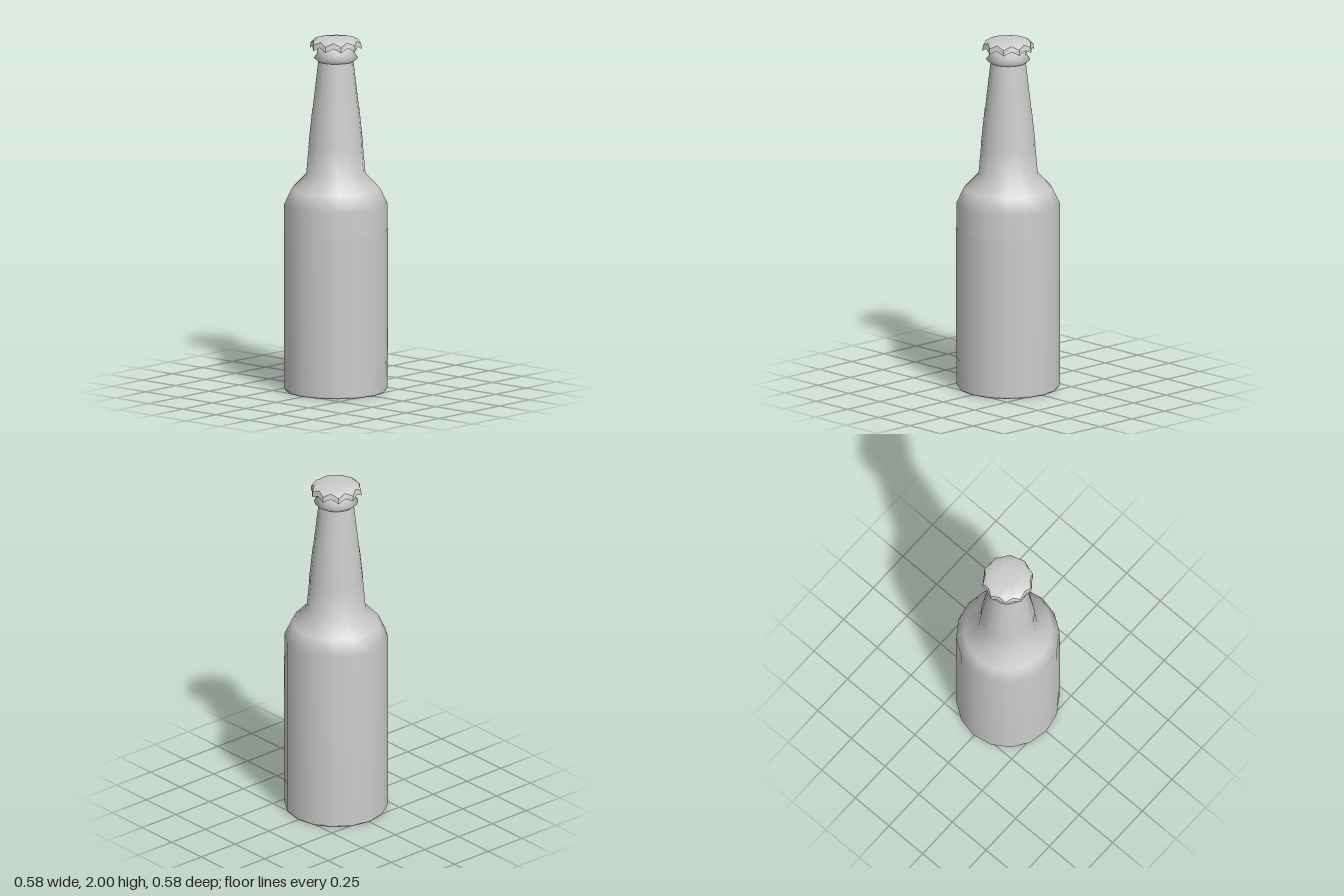
import * as THREE from 'three';

const SIDES = 16;
const STEP = (Math.PI * 2) / SIDES;
const material = new THREE.MeshStandardMaterial({ color: 0xcccccc, side: THREE.DoubleSide });
const crimped = material.clone();
crimped.flatShading = true;

function addMesh(group, name, geometry, mat = material) {
  const mesh = new THREE.Mesh(geometry, mat);
  mesh.name = name;
  group.add(mesh);
}

// Turned surface spanning `sides` facets, centred on the front
function turned(profile, sides = SIDES) {
  const points = profile.map(([r, y]) => new THREE.Vector2(r, y));
  const start = sides === SIDES ? 0 : (-sides / 2) * STEP;
  return new THREE.LatheGeometry(points, sides, start, sides * STEP);
}

// Rings whose radius and height alternate between tips and valleys
function crimpedRings(rings, tips = 10) {
  const n = tips * 2;
  const positions = [];
  const index = [];
  rings.forEach(({ tip, valley }, row) => {
    for (let i = 0; i < n; i++) {
      const [r, y] = i % 2 ? valley : tip;
      const a = (i / n) * Math.PI * 2;
      positions.push(r * Math.sin(a), y, r * Math.cos(a));
      if (row === 0) continue;
      const j = (i + 1) % n;
      const low = (row - 1) * n;
      const high = row * n;
      index.push(low + i, low + j, high + j, low + i, high + j, high + i);
    }
  });
  const geometry = new THREE.BufferGeometry();
  geometry.setAttribute('position', new THREE.Float32BufferAttribute(positions, 3));
  geometry.setIndex(index);
  geometry.computeVertexNormals();
  return geometry;
}

export function createModel() {
  const bottle = new THREE.Group();
  bottle.name = 'bottle';

  // Glass: hollowed base, straight body, rounded shoulder, tapering neck
  addMesh(bottle, 'glassBody', turned([
    [0, 0.015], [0.2, 0.008], [0.28, 0], [0.288, 0.012], [0.289, 1.055],
    [0.247, 1.145], [0.165, 1.23], [0.15, 1.4], [0.129, 1.6], [0.098, 1.87],
  ]));

  // Lip ring and mouth under the cap
  addMesh(bottle, 'lipRing', turned([
    [0.095, 1.862], [0.124, 1.885], [0.104, 1.912], [0.104, 1.965], [0, 1.965],
  ]));

  // Paper labels lying on the glass
  addMesh(bottle, 'bodyLabel', turned([[0.291, 0.17], [0.291, 0.915]], 6));
  addMesh(bottle, 'neckLabel', turned([[0.152, 1.4], [0.131, 1.6]], 12));

  // Crimped cap: pleated skirt and gently domed top
  const cap = new THREE.Group();
  cap.name = 'cap';
  const rim = { tip: [0.142, 1.968], valley: [0.126, 1.988] };
  addMesh(cap, 'capSkirt', crimpedRings([
    { tip: [0.145, 1.936], valley: [0.135, 1.958] },
    rim,
  ]), crimped);
  addMesh(cap, 'capTop', crimpedRings([
    rim,
    { tip: [0.11, 1.994], valley: [0.11, 1.994] },
    { tip: [0.06, 1.999], valley: [0.06, 1.999] },
    { tip: [0, 2], valley: [0, 2] },
  ]));
  bottle.add(cap);

  return bottle;
}
